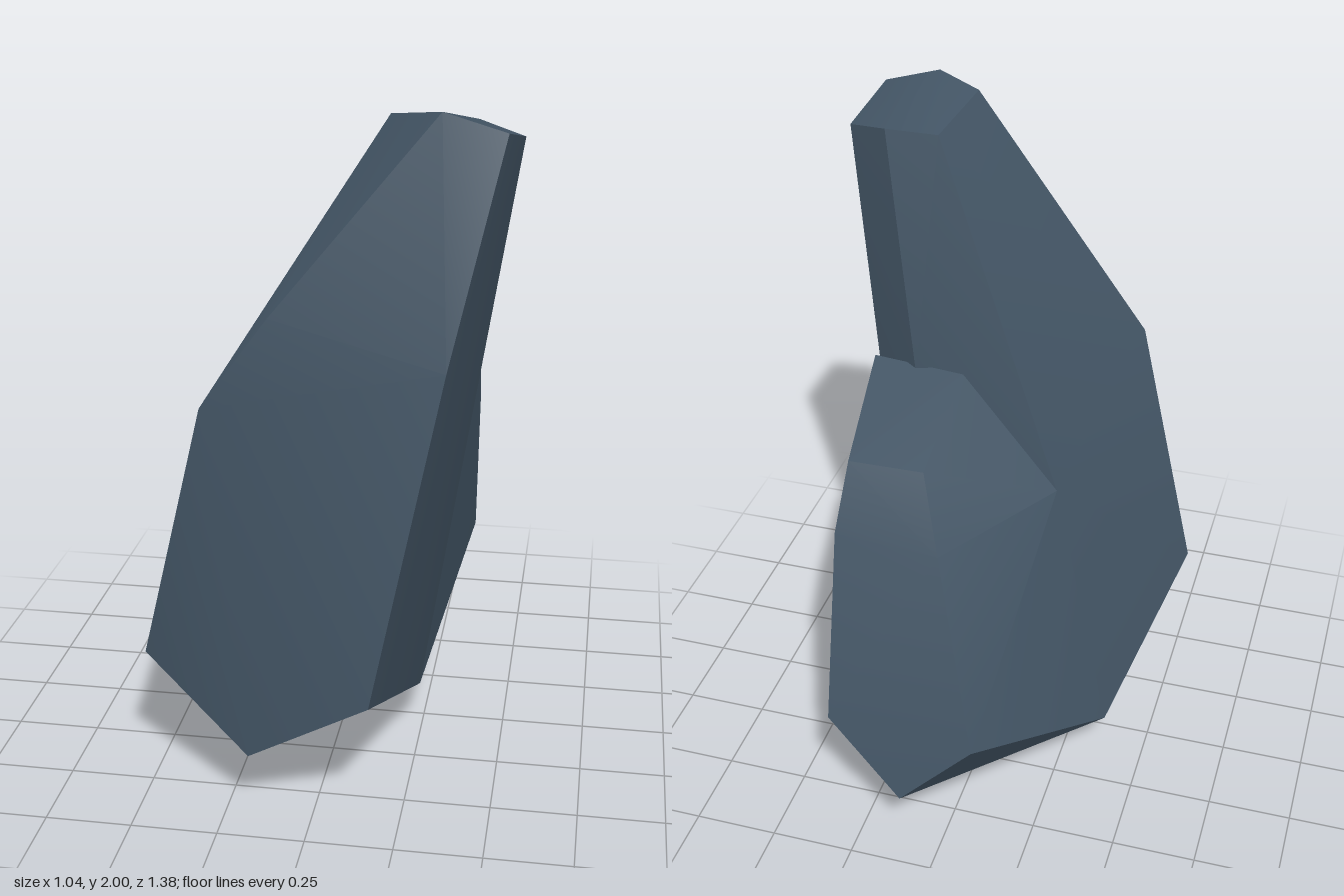
import * as THREE from 'three';
import { toCreasedNormals } from 'three/addons/utils/BufferGeometryUtils.js';
import { ConvexGeometry } from 'three/addons/geometries/ConvexGeometry.js';

const slate = new THREE.MeshStandardMaterial({ color: 0x435565 });
slate.name = 'slate';

// A convex rock through its corners; shallow folds are smoothed, real edges stay sharp
function rock(name, corners) {
  const hull = new ConvexGeometry(corners.map((c) => new THREE.Vector3(...c)));
  const mesh = new THREE.Mesh(toCreasedNormals(hull, 0.35), slate);
  mesh.name = name;
  return mesh;
}

export function createModel() {
  const group = new THREE.Group();
  group.name = 'rock';

  // Corners of the foot, shared by both pieces
  const frontLeft = [0.17, 0.40, 0.69];
  const frontMiddle = [-0.18, 0.19, 0.64];
  const frontRight = [-0.52, 0.40, 0.46];
  const leftMiddle = [0.24, 0.13, 0.04];
  const rightMiddle = [-0.38, 0.14, -0.12];
  const tip = [-0.09, 0, -0.07];
  const rightWaist = [-0.19, 0.94, -0.05];

  // Tall spire that leans to the left, with a bevelled cap
  group.add(rock('spire', [
    frontLeft, frontMiddle, frontRight, leftMiddle, rightMiddle, tip, rightWaist,
    [-0.32, 1.19, 0.53], [-0.13, 1.45, 0.52], [0.36, 1.36, 0.64], // shoulder and front fold
    [0.40, 1.22, 0.08], [0.26, 1.25, 0.00], // back, where it meets the ledge
    [0.18, 1.98, 0.40], [0.32, 2.00, 0.47], [0.49, 1.95, 0.47], // cap
    [0.52, 1.90, 0.24], [0.39, 1.93, 0.17], [0.23, 1.93, 0.17],
  ]));

  // Lower block behind the spire, with a sloping ledge on top
  group.add(rock('backLedge', [
    frontLeft, frontMiddle, frontRight, leftMiddle, rightMiddle, tip, rightWaist,
    [0.35, 0.40, -0.62], [0.11, 0.20, -0.69], [-0.10, 0.40, -0.65], // back foot
    [0.37, 0.94, -0.43], [0.05, 0.94, -0.46], // back fold
    [0.36, 1.12, -0.32], [0.13, 1.13, -0.33], // back edge of the ledge
    [0.40, 1.26, 0.04], [0.11, 1.27, -0.01], // front edge of the ledge
  ]));

  return group;
}
